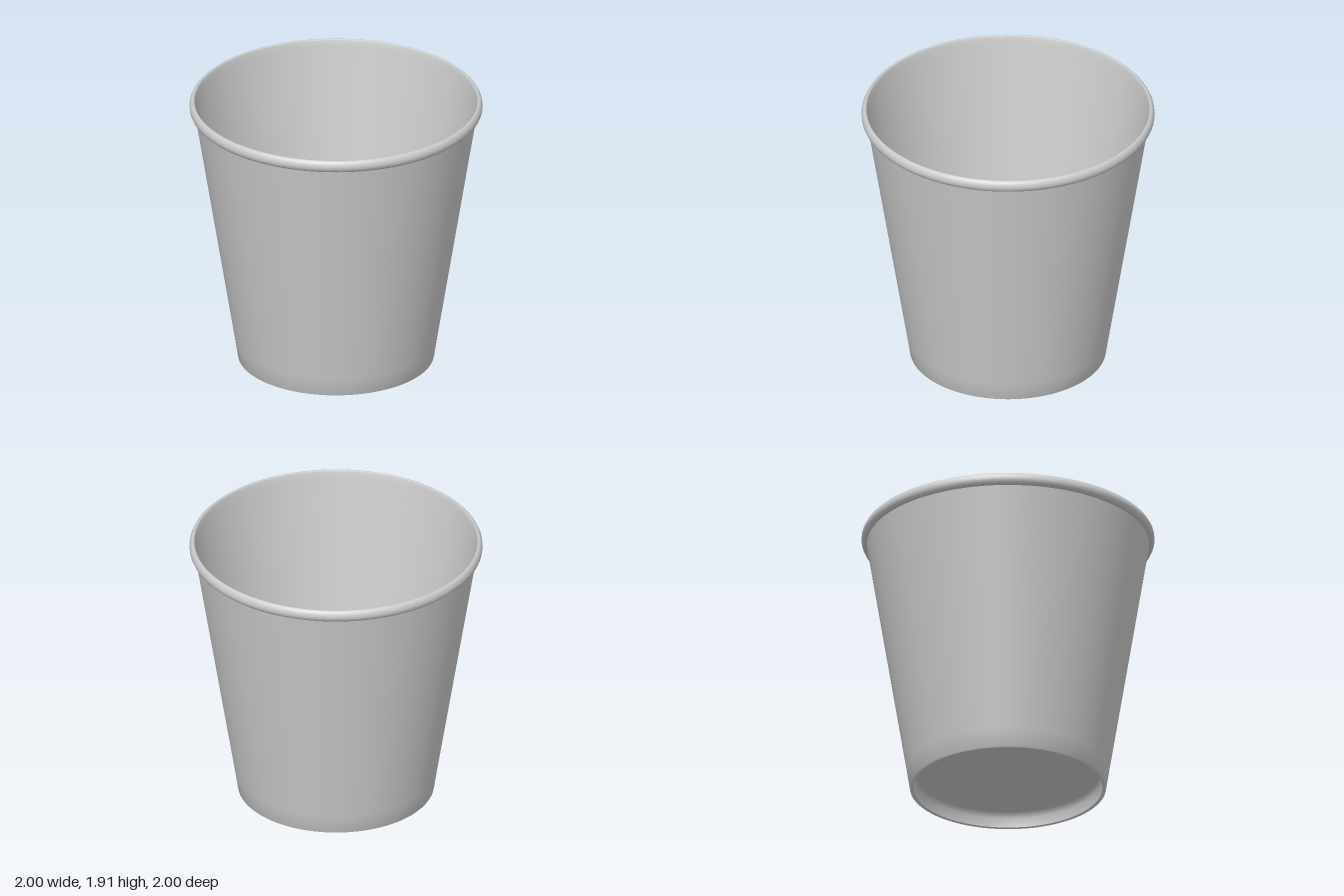
import * as THREE from 'three';

const SEGMENTS = 96;

// Revolve a [radius, height] profile around the vertical axis
function turned(name, profile, material) {
  const points = profile.map(([r, y]) => new THREE.Vector2(r, y));
  const mesh = new THREE.Mesh(new THREE.LatheGeometry(points, SEGMENTS), material);
  mesh.name = name;
  return mesh;
}

export function createModel() {
  const paper = new THREE.MeshStandardMaterial({ color: 0xcccccc, side: THREE.DoubleSide });
  paper.name = 'greyPaper';

  const cup = new THREE.Group();
  cup.name = 'paperCup';

  cup.add(
    // Tapered outer wall, turned under at the foot
    turned('outerWall', [
      [0.645, 0], [0.67, 0], [0.69, 0.13], [0.83, 1], [0.965, 1.84],
    ], paper),

    // Rolled lip, running over into the inside of the wall
    turned('rolledRim', [
      [0.962, 1.83], [0.98, 1.831], [0.992, 1.842], [0.999, 1.858], [1, 1.872],
      [0.998, 1.888], [0.99, 1.904], [0.979, 1.914], [0.97, 1.914],
      [0.964, 1.905], [0.958, 1.87], [0.938, 1.75],
    ], paper),

    // Inner face of the wall
    turned('innerWall', [
      [0.938, 1.75], [0.81, 1], [0.66, 0.1],
    ], paper),

    // Small rounded joint between wall and floor
    turned('floorSeam', [
      [0.662, 0.1], [0.653, 0.11], [0.64, 0.114], [0.625, 0.111],
    ], paper),

    // Raised floor with its skirt reaching down to the foot
    turned('floor', [
      [0.645, 0], [0.645, 0.069], [0.625, 0.11], [0, 0.11],
    ], paper),
  );

  return cup;
}
